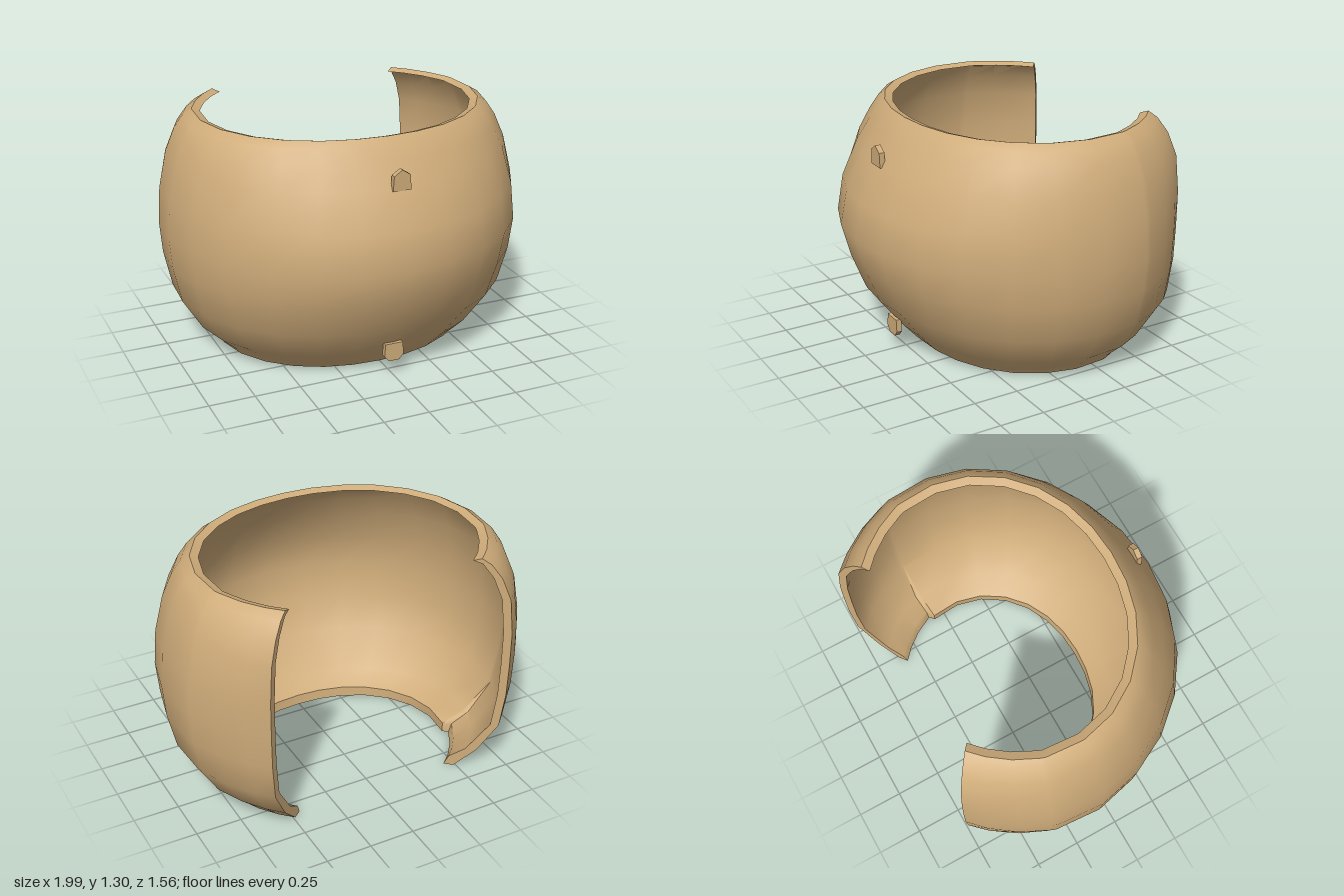
import * as THREE from 'three';
import { toCreasedNormals } from 'three/addons/utils/BufferGeometryUtils.js';

// Outer wall radius about the cuff axis, by height, at three directions
const HEIGHTS = [0, 0.03, 0.12, 0.3, 0.5, 0.68, 0.88, 1.08, 1.2, 1.275, 1.305];
const FRONT = [0.62, 0.65, 0.73, 0.87, 0.95, 1.0, 0.96, 0.86, 0.78, 0.73, 0.7];
const SIDE = [0.71, 0.73, 0.83, 0.94, 0.985, 1.0, 0.985, 0.94, 0.89, 0.84, 0.79];
const END = [0.63, 0.66, 0.75, 0.86, 0.885, 0.89, 0.89, 0.87, 0.82, 0.76, 0.71];
const AXIS_Z = -0.22, OPEN = 129, LIP_END = 100;
const HALF = [14, 28, 42, 56, 70, 84, 99, 101, 111, 121, OPEN];

function outerRadius(level, deg) {
  const a = Math.abs(deg);
  if (a < 70) return THREE.MathUtils.lerp(FRONT[level], SIDE[level], THREE.MathUtils.smoothstep(a, 0, 80));
  const t = Math.max(0, (a - 95) / (OPEN - 95));
  const base = THREE.MathUtils.lerp(FRONT[level], SIDE[level], THREE.MathUtils.smoothstep(a, 0, 80));
  return THREE.MathUtils.lerp(base, END[level], t);
}

// Closed wall section: up the outside, then down the inside to the lip
function section(deg) {
  const a = THREE.MathUtils.degToRad(deg);
  const lip = Math.abs(deg) < LIP_END ? [0.09, 0.11, 0.09] : [0.055, 0.06, 0.06];
  const at = (r, y) => [r * Math.sin(a), y, AXIS_Z + r * Math.cos(a)];
  const outer = HEIGHTS.map((y, i) => at(outerRadius(i, deg), y));
  const inner = HEIGHTS.map((y, i) => {
    const yy = i === 1 ? 0.055 : i === HEIGHTS.length - 1 ? 1.29 : y;
    return at(outerRadius(i, deg) - (lip[i] ?? 0.045), yy);
  });
  return [...outer, ...inner.reverse()];
}

function cuffGeometry() {
  const angles = [...HALF.map((a) => -a).reverse(), 0, ...HALF];
  const m = HEIGHTS.length * 2, last = angles.length - 1;
  const index = [];
  const quad = (a, b, c, d) => index.push(a, b, c, a, c, d);
  for (let i = 0; i < last; i++) {
    for (let j = 0; j < m; j++) {
      const k = (j + 1) % m;
      quad(i * m + j, (i + 1) * m + j, (i + 1) * m + k, i * m + k);
    }
  }
  // Flat faces at the two open ends
  for (let j = 0; j < HEIGHTS.length - 1; j++) {
    const o = j, o2 = j + 1, n = m - 1 - j, n2 = m - 2 - j, e = last * m;
    quad(o, o2, n2, n);
    quad(e + o, e + n, e + n2, e + o2);
  }
  const g = new THREE.BufferGeometry();
  g.setAttribute('position', new THREE.Float32BufferAttribute(angles.flatMap(section).flat(), 3));
  g.setIndex(index);
  return toCreasedNormals(g, 0.65);
}

// Thin peg cut from a small outline
function peg(name, outline, z, material) {
  const shape = new THREE.Shape(outline.map(([x, y]) => new THREE.Vector2(x, y)));
  const g = new THREE.ExtrudeGeometry(shape, { depth: 0.03, bevelEnabled: false });
  g.translate(0, 0, z);
  const mesh = new THREE.Mesh(g, material);
  mesh.name = name;
  return mesh;
}

export function createModel() {
  const tan = new THREE.MeshStandardMaterial({ color: 0xcfac7a });
  tan.name = 'tan';
  const group = new THREE.Group();
  group.name = 'openCuff';

  const cuff = new THREE.Mesh(cuffGeometry(), tan);
  cuff.name = 'cuffShell';
  group.add(cuff);

  group.add(peg('upperPeg', [[-0.05, 1.07], [0.05, 1.07], [0.045, 1.15], [0, 1.18], [-0.045, 1.15]], 0.62, tan));
  group.add(peg('lowerPeg', [[-0.055, 0.12], [-0.03, 0.09], [0.03, 0.09], [0.055, 0.12], [0.05, 0.19], [-0.05, 0.19]], 0.552, tan));
  return group;
}
